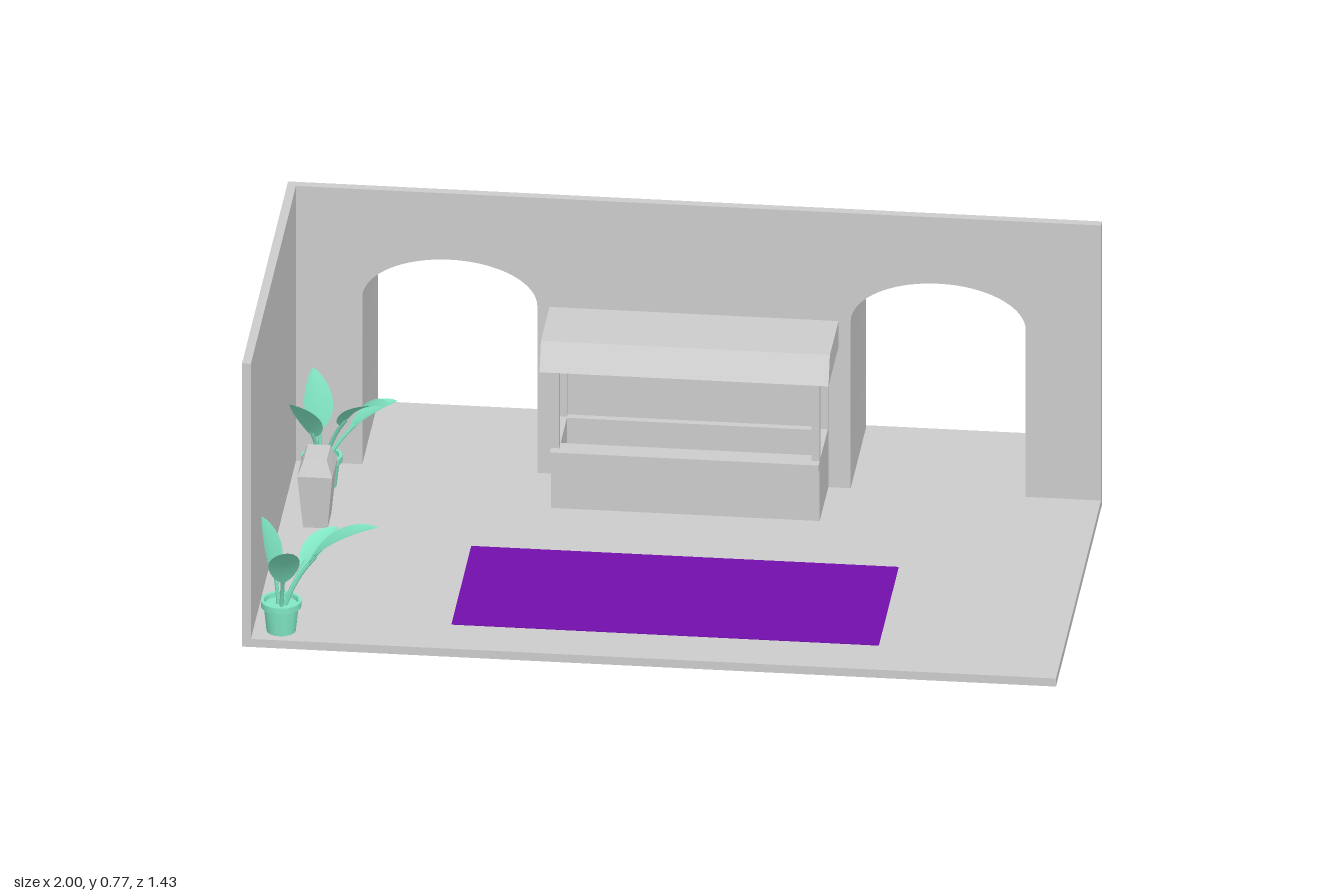
import * as THREE from 'three';
import { toCreasedNormals } from 'three/addons/utils/BufferGeometryUtils.js';

const grey = new THREE.MeshStandardMaterial({ color: 0xcccccc });
const purple = new THREE.MeshStandardMaterial({ color: 0x720fac });
const green = new THREE.MeshStandardMaterial({ color: 0x80e6c4, side: THREE.DoubleSide });

function add(parent, name, geometry, material = grey) {
  const mesh = new THREE.Mesh(geometry, material);
  mesh.name = name;
  parent.add(mesh);
  return mesh;
}

// Box given by its extents on each axis
function box(parent, name, [x0, x1], [y0, y1], [z0, z1], material) {
  const g = new THREE.BoxGeometry(x1 - x0, y1 - y0, z1 - z0);
  g.translate((x0 + x1) / 2, (y0 + y1) / 2, (z0 + z1) / 2);
  return add(parent, name, g, material);
}

// Box whose top and bottom differ in size
function frustum(bottom, top, y0, y1) {
  const g = new THREE.BoxGeometry(1, 1, 1);
  const p = g.attributes.position;
  for (let i = 0; i < p.count; i++) {
    const up = p.getY(i) > 0;
    const [w, d] = up ? top : bottom;
    p.setXYZ(i, p.getX(i) * w, up ? y1 : y0, p.getZ(i) * d);
  }
  g.computeVertexNormals();
  return g;
}

// Doorway outline with an elliptical head
function archPath(path, cx, halfWidth, base, spring, apex) {
  path.moveTo(cx - halfWidth, base);
  path.lineTo(cx + halfWidth, base);
  path.lineTo(cx + halfWidth, spring);
  path.absellipse(cx, spring, halfWidth, apex - spring, 0, Math.PI, false, 0);
  path.lineTo(cx - halfWidth, base);
  return path;
}

function extrude(shape, z0, z1) {
  const g = new THREE.ExtrudeGeometry(shape, { depth: z1 - z0, bevelEnabled: false, curveSegments: 28 });
  g.translate(0, 0, z0);
  return toCreasedNormals(g, 0.5);
}

// Folded, pointed blade following the outer part of a curve
function leafGeometry(curve, sideways, width) {
  const rows = 12, pos = [], index = [];
  for (let i = 0; i <= rows; i++) {
    const s = i / rows;
    const c = curve.getPoint(0.36 + 0.64 * s);
    const t = curve.getTangent(0.36 + 0.64 * s);
    const up = new THREE.Vector3().crossVectors(t, sideways).normalize();
    if (up.y < 0) up.negate();
    const w = width * 0.5 * Math.pow(Math.sin(Math.PI * Math.pow(s, 0.85)), 0.75) + 0.001;
    for (const k of [-1, 0, 1]) {
      const v = c.clone().addScaledVector(sideways, k * w).addScaledVector(up, Math.abs(k) * w * 0.25);
      pos.push(v.x, v.y, v.z);
    }
    if (i < rows) {
      for (const k of [0, 1]) {
        const a = i * 3 + k;
        index.push(a, a + 3, a + 1, a + 1, a + 3, a + 4);
      }
    }
  }
  const g = new THREE.BufferGeometry();
  g.setAttribute('position', new THREE.Float32BufferAttribute(pos, 3));
  g.setIndex(index);
  g.computeVertexNormals();
  return g;
}

function makePlant() {
  const plant = new THREE.Group();
  plant.name = 'pottedPlant';
  const profile = [[0, 0], [0.036, 0], [0.043, 0.066], [0.05, 0.066], [0.05, 0.082],
    [0.042, 0.082], [0.041, 0.07], [0, 0.07]].map(([r, y]) => new THREE.Vector2(r, y));
  add(plant, 'pot', toCreasedNormals(new THREE.LatheGeometry(profile, 24), 0.5), green);

  // angle around the pot, control reach and height, tip reach and height, width
  const leaves = [
    [-48, 0.085, 0.2, 0.185, 0.22, 0.065],
    [4, 0.07, 0.26, 0.24, 0.3, 0.08],
    [78, 0.035, 0.18, 0.145, 0.278, 0.075],
    [203, 0.012, 0.17, 0.055, 0.295, 0.075],
  ];
  for (const [deg, r1, y1, r2, y2, width] of leaves) {
    const a = deg * Math.PI / 180, cos = Math.cos(a), sin = Math.sin(a);
    const curve = new THREE.QuadraticBezierCurve3(
      new THREE.Vector3(cos * 0.008, 0.06, sin * 0.008),
      new THREE.Vector3(cos * r1, y1, sin * r1),
      new THREE.Vector3(cos * r2, y2, sin * r2));
    add(plant, 'leafBlade', leafGeometry(curve, new THREE.Vector3(-sin, 0, cos), width), green);
    const stem = new THREE.CatmullRomCurve3([0, 0.15, 0.3, 0.45].map((t) => curve.getPoint(t)));
    add(plant, 'leafStem', new THREE.TubeGeometry(stem, 8, 0.005, 6), green);
  }
  return plant;
}

export function createModel() {
  const model = new THREE.Group();
  model.name = 'hall';
  const floorTop = 0.022, wallTop = 0.77;

  // Floor, rug and side wall
  box(model, 'floor', [-1, 1], [0, floorTop], [-0.387, 0.628]);
  box(model, 'rug', [-0.5, 0.55], [floorTop, floorTop + 0.002], [0.06, 0.495], purple);
  box(model, 'sideWall', [-1, -0.978], [floorTop, wallTop], [-0.364, 0.628]);

  // Back wall with two arched openings
  const wall = new THREE.Shape();
  wall.moveTo(-1, floorTop);
  for (const cx of [-0.6, 0.6]) {
    wall.lineTo(cx - 0.215, floorTop);
    wall.lineTo(cx - 0.215, 0.475);
    wall.absellipse(cx, 0.475, 0.215, 0.115, Math.PI, 0, true, 0);
    wall.lineTo(cx + 0.215, floorTop);
  }
  wall.lineTo(1, floorTop);
  wall.lineTo(1, wallTop);
  wall.lineTo(-1, wallTop);
  add(model, 'backWall', extrude(wall, -0.387, -0.364));

  // Vaulted passages behind the openings
  for (const cx of [-0.6, 0.6]) {
    const vault = new THREE.Shape();
    vault.moveTo(cx + 0.215, floorTop);
    vault.lineTo(cx + 0.235, floorTop);
    vault.lineTo(cx + 0.235, 0.475);
    vault.absellipse(cx, 0.475, 0.235, 0.135, 0, Math.PI, false, 0);
    vault.lineTo(cx - 0.235, floorTop);
    vault.lineTo(cx - 0.215, floorTop);
    vault.lineTo(cx - 0.215, 0.475);
    vault.absellipse(cx, 0.475, 0.215, 0.115, Math.PI, 0, true, 0);
    add(model, 'passageVault', extrude(vault, -0.706, -0.387));
    box(model, 'passageFloor', [cx - 0.225, cx + 0.225], [0, floorTop], [-0.715, -0.387]);
  }

  // Stall: hollow counter, ledge, posts and canopy
  const stall = new THREE.Group();
  stall.name = 'stall';
  model.add(stall);
  box(stall, 'counterFront', [-0.33, 0.33], [floorTop, 0.165], [-0.195, -0.175]);
  box(stall, 'counterBack', [-0.33, 0.33], [floorTop, 0.185], [-0.364, -0.345]);
  box(stall, 'counterLedge', [-0.33, 0.33], [0.165, 0.185], [-0.205, -0.15]);
  for (const s of [-1, 1]) {
    const x = s < 0 ? [-0.33, -0.31] : [0.31, 0.33];
    box(stall, 'counterSide', x, [floorTop, 0.185], [-0.345, -0.195]);
    box(stall, 'frontPost', x, [0.185, 0.41], [-0.193, -0.175]);
    box(stall, 'rearPost', x, [0.185, 0.41], [-0.364, -0.352]);
  }
  const canopy = new THREE.Shape([[0.143, 0.405], [0.364, 0.405], [0.364, 0.475], [0.175, 0.475]]
    .map(([x, y]) => new THREE.Vector2(x, y)));
  add(stall, 'canopy', extrude(canopy, -0.355, 0.355).rotateY(Math.PI / 2));

  // Waste bin
  const bin = new THREE.Group();
  bin.name = 'wasteBin';
  bin.position.set(-0.89, floorTop, -0.045);
  model.add(bin);
  add(bin, 'binBody', frustum([0.06, 0.088], [0.086, 0.115], 0, 0.143));
  add(bin, 'binLid', frustum([0.086, 0.115], [0.056, 0.085], 0.143, 0.184));
  for (const s of [-1, 1]) {
    const slot = add(bin, 'binSlot', new THREE.BoxGeometry(0.004, 0.018, 0.058));
    slot.position.set(s * 0.0345, 0.163, 0);
    slot.rotation.z = s * 0.35;
  }

  // Two potted plants, the rear one turned
  const frontPlant = makePlant();
  frontPlant.position.set(-0.91, floorTop, 0.57);
  const rearPlant = makePlant();
  rearPlant.position.set(-0.9, floorTop, -0.24);
  rearPlant.rotation.y = -0.64;
  model.add(frontPlant, rearPlant);

  return model;
}
